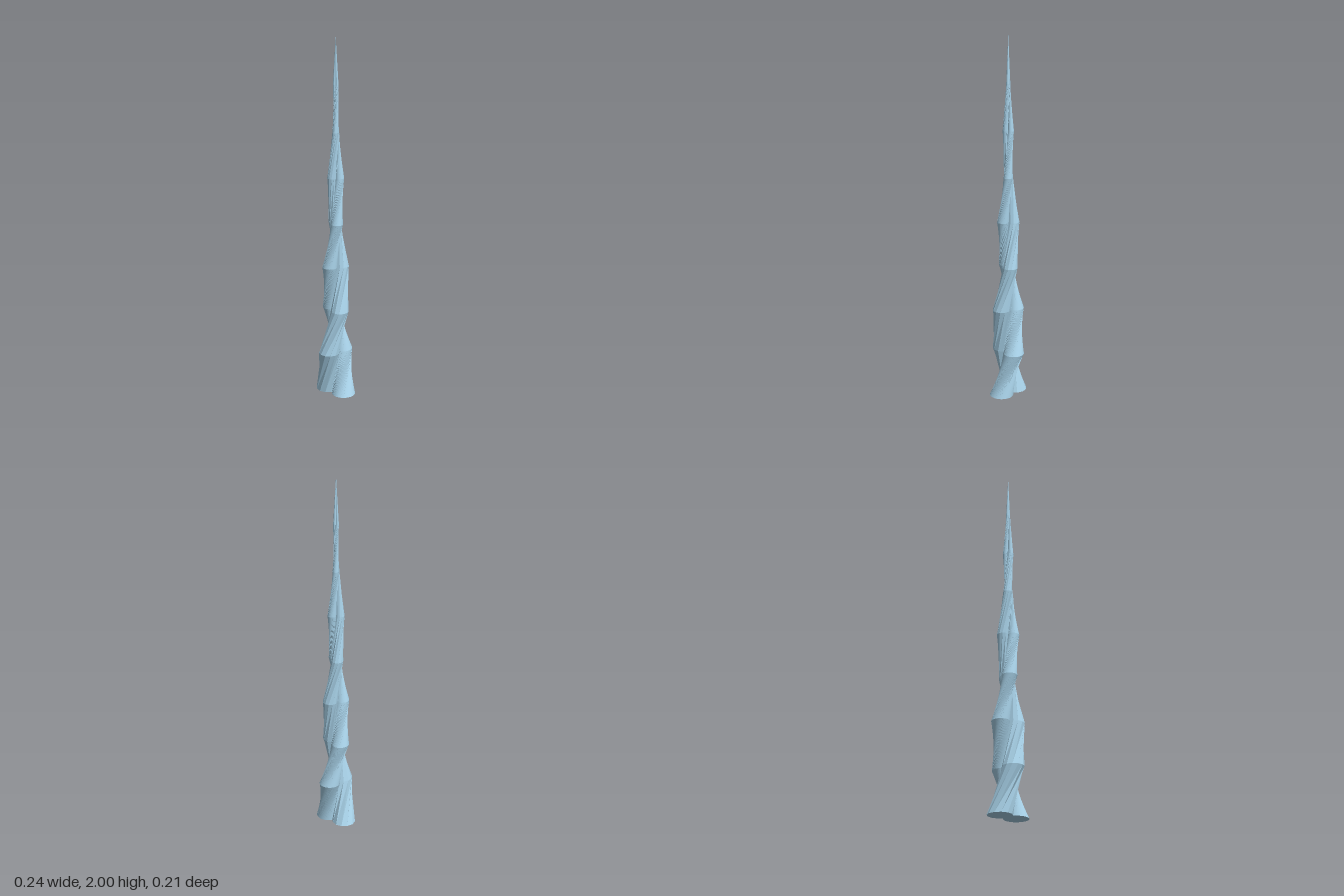
import * as THREE from 'three';

const HEIGHT = 2, LEVELS = 8;
const TWIST = THREE.MathUtils.degToRad(80); // turn per level
const AXIS = THREE.MathUtils.degToRad(13);  // direction of the first strand at the base
const OFFSET = 0.0555, RADIUS = 0.066;      // strand centre distance and radius

// Arc of one strand, from its notch with the other strand round the outside.
function strandArc(direction, sides, startDegrees) {
  const ux = Math.cos(direction), uy = Math.sin(direction);
  const notch = Math.sqrt(RADIUS * RADIUS - OFFSET * OFFSET);
  const points = [new THREE.Vector2(uy * notch, -ux * notch)];
  for (let i = 0; i < sides; i++) {
    const a = direction - Math.PI + THREE.MathUtils.degToRad(startDegrees) + (i / sides) * Math.PI * 2;
    const p = new THREE.Vector2(ux * OFFSET + Math.cos(a) * RADIUS, uy * OFFSET + Math.sin(a) * RADIUS);
    if (p.x * ux + p.y * uy > 0.002) points.push(p);
  }
  return points;
}

// Twisted, tapering loft of a closed outline, ending in a point.
function twistedSpire(outline) {
  const n = outline.length;
  const rings = [];
  for (let k = 0; k <= LEVELS; k++) {
    const s = 1 - k / LEVELS, c = Math.cos(k * TWIST) * s, d = Math.sin(k * TWIST) * s;
    rings.push(outline.map((p) => new THREE.Vector3(
      p.x * c - p.y * d, (k / LEVELS) * HEIGHT, -(p.x * d + p.y * c))));
  }
  const corners = [];
  const base = new THREE.Vector3();
  for (let i = 0; i < n; i++) {
    const j = (i + 1) % n;
    corners.push(base, rings[0][j], rings[0][i]);
    for (let k = 0; k < LEVELS; k++) {
      const a = rings[k][i], b = rings[k][j], c = rings[k + 1][j], d = rings[k + 1][i];
      if (k === LEVELS - 1) corners.push(a, b, d);
      // split each quad along its shorter diagonal
      else if (a.distanceTo(c) < b.distanceTo(d)) corners.push(a, b, c, a, c, d);
      else corners.push(a, b, d, b, c, d);
    }
  }
  const geometry = new THREE.BufferGeometry().setFromPoints(corners);
  geometry.computeVertexNormals();
  return geometry;
}

export function createModel() {
  const group = new THREE.Group();
  group.name = 'twistedHorn';

  // one finely rounded strand and one twelve-sided strand, joined along the axis
  const outline = [
    ...strandArc(AXIS, 48, 0),
    ...strandArc(AXIS + Math.PI, 12, 24),
  ];
  const material = new THREE.MeshStandardMaterial({ color: 0xa9d3ea, flatShading: true });
  const horn = new THREE.Mesh(twistedSpire(outline), material);
  horn.name = 'twinStrandSpire';
  group.add(horn);
  return group;
}
